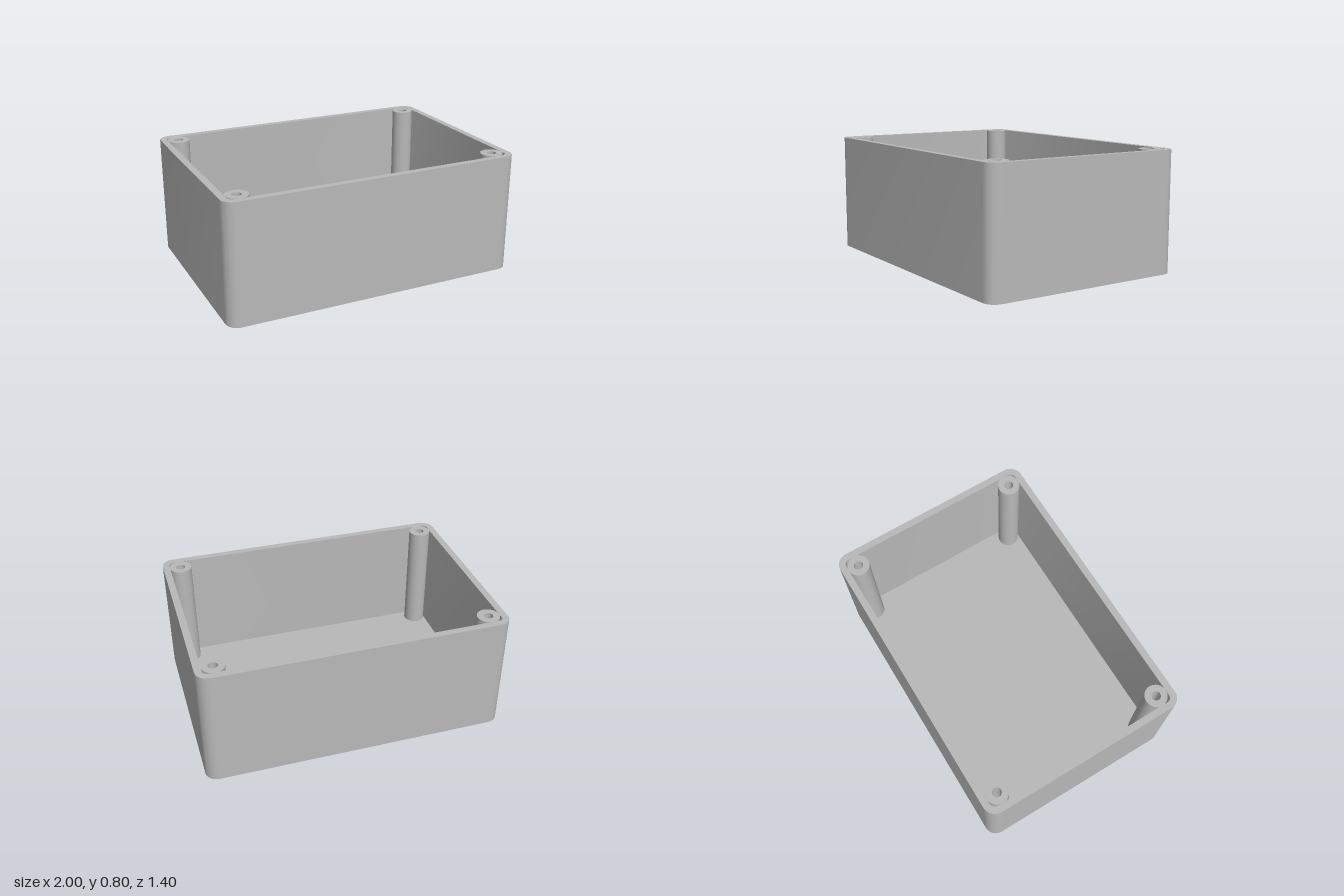
import * as THREE from 'three';
import { toCreasedNormals } from 'three/addons/utils/BufferGeometryUtils.js';

const HEIGHT = 0.8, FLOOR = 0.045, WALL = 0.045;
const HALF_X = 1, HALF_Z = 0.7, RADIUS = 0.08, STEPS = 12;

// Rounded rectangle loop at height y, pulled in from the outer outline
function outline(inset, y) {
  const r = RADIUS - inset, points = [];
  [[1, 1], [-1, 1], [-1, -1], [1, -1]].forEach(([sx, sz], corner) => {
    for (let i = 0; i <= STEPS; i++) {
      const a = (corner + i / STEPS) * Math.PI / 2;
      points.push([
        sx * (HALF_X - RADIUS) + r * Math.cos(a), y,
        sz * (HALF_Z - RADIUS) + r * Math.sin(a),
      ]);
    }
  });
  return points;
}

// Joins successive loops; the first and last are closed by a fan
function loft(loops) {
  const n = loops[0].length, pos = [];
  const tri = (...corners) => corners.forEach((p) => pos.push(...p));
  const first = loops[0], last = loops[loops.length - 1];
  const start = [0, first[0][1], 0], end = [0, last[0][1], 0];
  for (let i = 0; i < n; i++) {
    const j = (i + 1) % n;
    tri(start, first[i], first[j]);
    for (let k = 0; k + 1 < loops.length; k++) {
      const a = loops[k], b = loops[k + 1];
      tri(a[i], b[i], a[j]);
      tri(a[j], b[i], b[j]);
    }
    tri(last[i], end, last[j]);
  }
  const geo = new THREE.BufferGeometry();
  geo.setAttribute('position', new THREE.Float32BufferAttribute(pos, 3));
  return toCreasedNormals(geo, 0.6);
}

export function createModel() {
  const group = new THREE.Group();
  group.name = 'enclosureBase';
  const greyPlastic = new THREE.MeshStandardMaterial({ color: 0xb8b8b8 });
  greyPlastic.name = 'greyPlastic';

  // Open box: outer wall, rim, inner wall and floor in one skin
  const shell = new THREE.Mesh(loft([
    outline(0, 0), outline(0, HEIGHT), outline(WALL, HEIGHT), outline(WALL, FLOOR),
  ]), greyPlastic);
  shell.name = 'shell';
  group.add(shell);

  // Hollow screw posts, just touching the walls in each corner
  const profile = [[0.073, FLOOR], [0.073, HEIGHT], [0.03, HEIGHT], [0.03, FLOOR]]
    .map(([r, y]) => new THREE.Vector2(r, y));
  const postGeo = toCreasedNormals(new THREE.LatheGeometry(profile, 40), 0.6);
  for (const sx of [-1, 1]) {
    for (const sz of [-1, 1]) {
      const post = new THREE.Mesh(postGeo, greyPlastic);
      post.name = (sz > 0 ? 'front' : 'back') + (sx > 0 ? 'Left' : 'Right') + 'ScrewPost';
      post.position.set(sx * 0.883, 0, sz * 0.583);
      group.add(post);
    }
  }
  return group;
}
